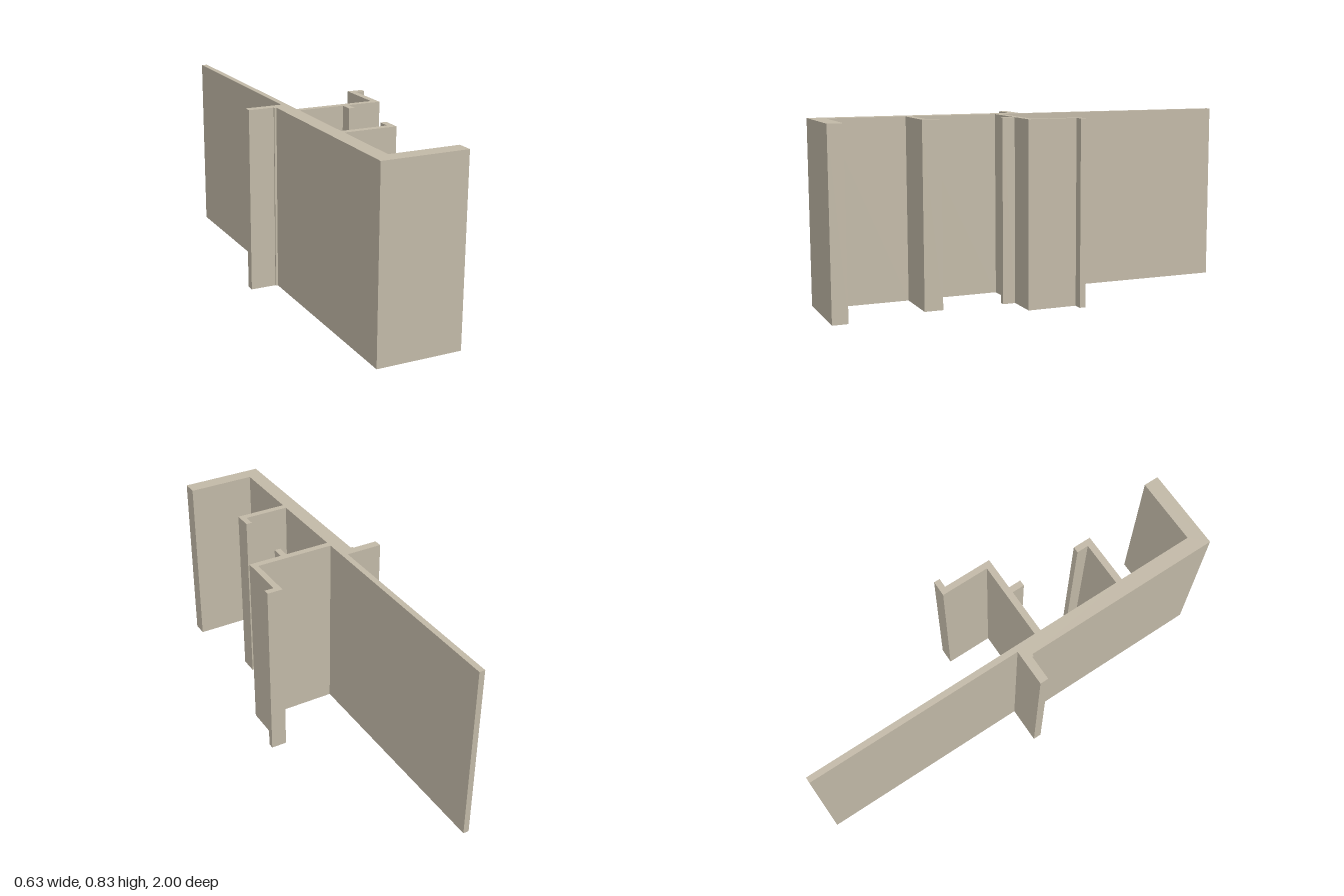
import * as THREE from 'three';

const HEIGHT = 0.835;

// Plan outline of the profile as [x, z], walked once around the section
const OUTLINE = [
  // thin rear web
  [-0.147, -1], [-0.12, -1],
  // hooked arm with outward lip
  [-0.12, 0.12], [0.245, 0.12], [0.245, -0.105], [0.317, -0.105],
  [0.317, -0.077], [0.273, -0.077], [0.273, 0.15],
  // small rib under the arm
  [0.118, 0.15], [0.118, 0.208], [0.09, 0.208], [0.09, 0.15], [-0.12, 0.15],
  // short arm with rearward lip
  [-0.12, 0.545], [0.09, 0.545], [0.09, 0.49], [0.118, 0.49],
  [0.118, 0.575], [-0.12, 0.575],
  // thick front flange
  [-0.12, 0.93], [0.194, 0.93], [0.194, 1], [-0.19, 1],
  // side fin with a small step at its root
  [-0.19, 0.06], [-0.2, 0.06], [-0.2, 0.053], [-0.317, 0.053],
  [-0.317, 0.014], [-0.147, 0.014],
];

export function createModel() {
  const group = new THREE.Group();
  group.name = 'extrudedProfile';

  const beige = new THREE.MeshStandardMaterial({ color: 0xc4bba9 });
  beige.name = 'beige';

  // Draw the section with y = -z, then stand the extrusion upright
  const section = new THREE.Shape(OUTLINE.map(([x, z]) => new THREE.Vector2(x, -z)));
  const geometry = new THREE.ExtrudeGeometry(section, { depth: HEIGHT, bevelEnabled: false });
  geometry.rotateX(-Math.PI / 2);

  const profile = new THREE.Mesh(geometry, beige);
  profile.name = 'frameProfile';
  group.add(profile);
  return group;
}
